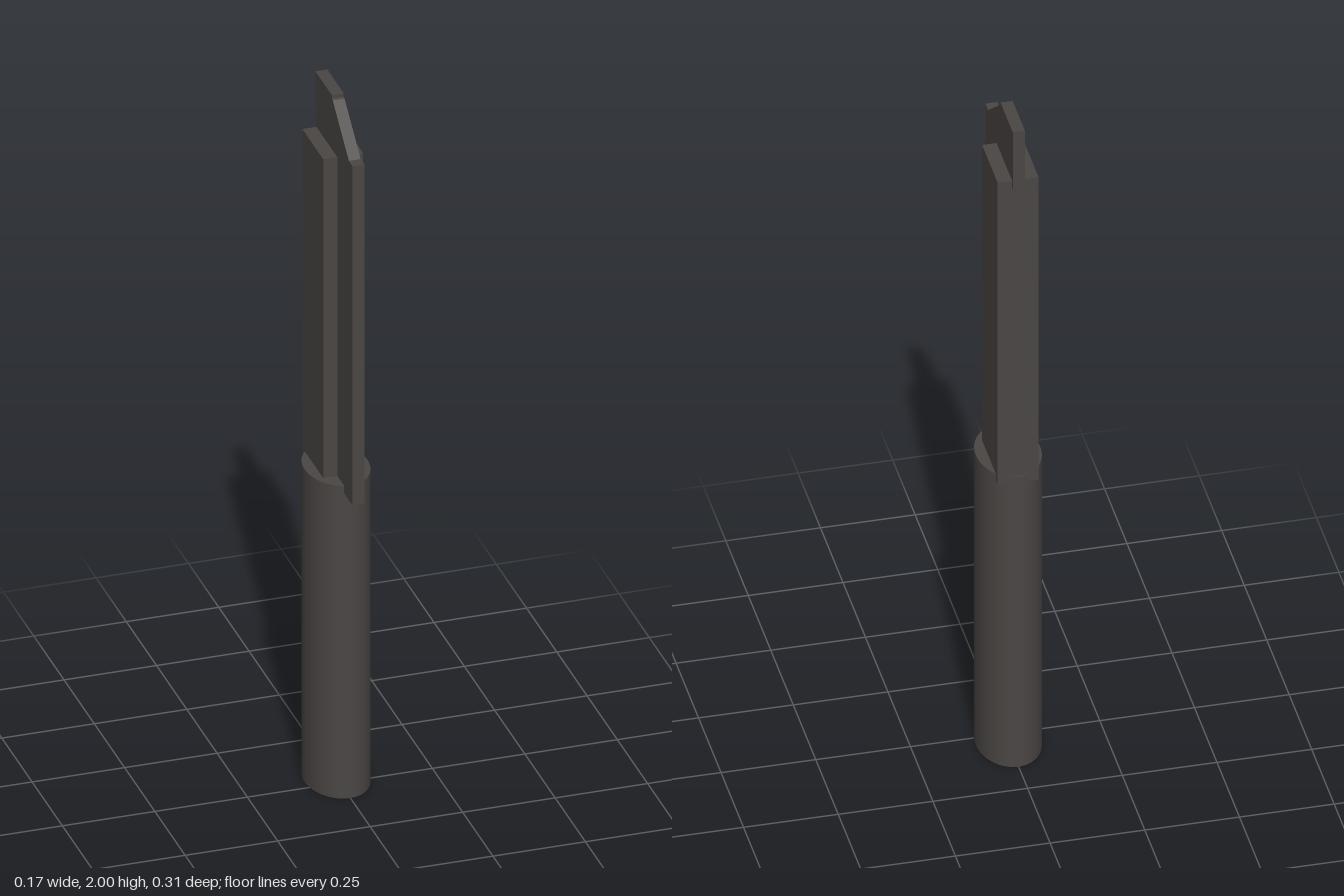
import * as THREE from 'three';

export function createModel() {
  const group = new THREE.Group();
  const darkGrey = new THREE.MeshStandardMaterial({ color: 0x4a4644 });
  darkGrey.name = 'darkGrey';

  const add = (name, geometry, x = 0, y = 0, z = 0) => {
    const mesh = new THREE.Mesh(geometry, darkGrey);
    mesh.name = name;
    mesh.position.set(x, y, z);
    group.add(mesh);
    return mesh;
  };

  // Oval handle, set slightly to the back
  const handle = add('handle', new THREE.CylinderGeometry(1, 1, 0.912, 48), 0, 0.456, -0.032);
  handle.scale.set(0.085, 1, 0.119);

  // Thick spine block behind the blade, its lower end sunk into the handle
  add('spineBlock', new THREE.BoxGeometry(0.108, 0.952, 0.173), 0, 1.366, -0.0585);

  // Thin blade with a slanted tip and a notch at the back; profile is [z, y]
  const profile = [
    [0.153, 0.89], [0.153, 1.88], [0.123, 1.88], [-0.01, 1.988], [-0.017, 1.99],
    [-0.017, 2], [-0.153, 2], [-0.153, 1.82], [-0.14, 1.82], [-0.14, 0.89],
  ];
  const shape = new THREE.Shape(profile.map(([z, y]) => new THREE.Vector2(-z, y)));
  const blade = new THREE.ExtrudeGeometry(shape, { depth: 0.032, bevelEnabled: false });
  blade.translate(0, 0, -0.016);
  blade.rotateY(Math.PI / 2); // shape x becomes -z
  add('blade', blade);

  return group;
}
